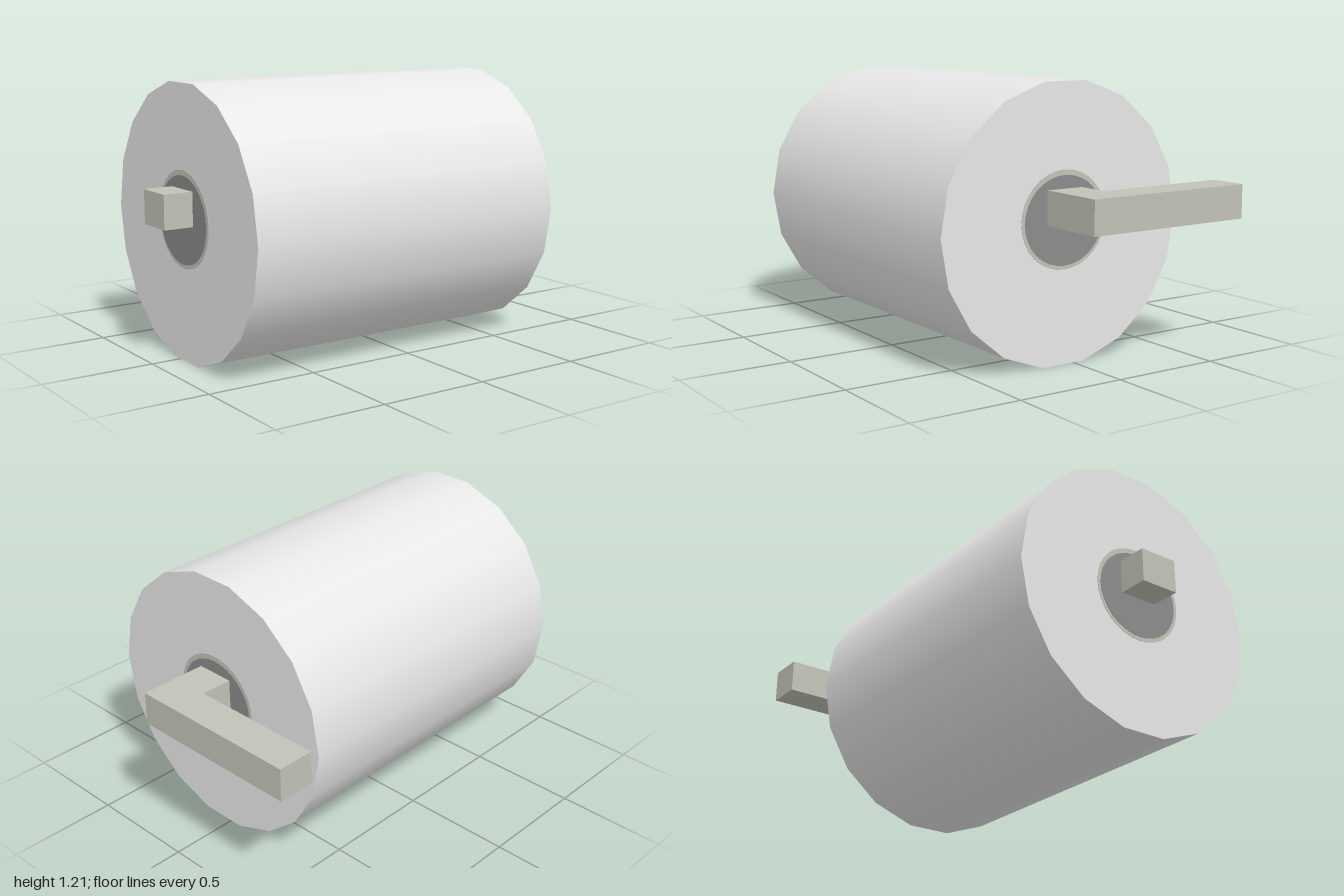
import * as THREE from 'three';

export function createModel() {
  const model = new THREE.Group();
  model.name = 'paperRollOnHolder';

  const flat = (name, color) => {
    const m = new THREE.MeshStandardMaterial({ color });
    m.name = name;
    return m;
  };
  const paper = flat('paperWhite', 0xf0f0f0);
  const warmGrey = flat('warmGrey', 0xc2c2b7);
  const darkGrey = flat('darkGrey', 0x8b8b8b);

  const add = (name, geometry, material) => {
    const mesh = new THREE.Mesh(geometry, material);
    mesh.name = name;
    model.add(mesh);
    return mesh;
  };

  // Cylinder lying along x, with separate radii in y and z
  const disc = (ry, rz, length, sides, x, y, z) =>
    new THREE.CylinderGeometry(1, 1, length, sides)
      .rotateZ(-Math.PI / 2)
      .scale(1, ry, rz)
      .translate(x, y, z);

  // Paper roll: 18 sides, smooth around, flat ends
  const x0 = -0.863, x1 = 0.685;
  add('paperRoll', disc(0.612, 0.612, x1 - x0, 18, (x0 + x1) / 2, 0.603, 0.053), paper);

  // Cardboard core rim and dark core opening on both ends
  for (const [side, x] of [['right', x0], ['left', x1]]) {
    add(side + 'CoreRim', disc(0.213, 0.22, 0.004, 32, x, 0.625, 0.055), warmGrey);
    add(side + 'CoreOpening', disc(0.193, 0.204, 0.008, 32, x, 0.622, 0.054), darkGrey);
  }

  // L-shaped holder: bar through the roll, then an arm running back
  const outline = new THREE.Shape(
    [[-1, -0.145], [1, -0.145], [1, 0.663], [0.833, 0.663], [0.833, 0.035], [-1, 0.035]]
      .map(([x, y]) => new THREE.Vector2(x, y))
  );
  const holder = new THREE.ExtrudeGeometry(outline, { depth: 0.15, bevelEnabled: false })
    .rotateX(-Math.PI / 2)
    .translate(0, 0.607, 0);
  add('holderBar', holder, warmGrey);

  return model;
}
